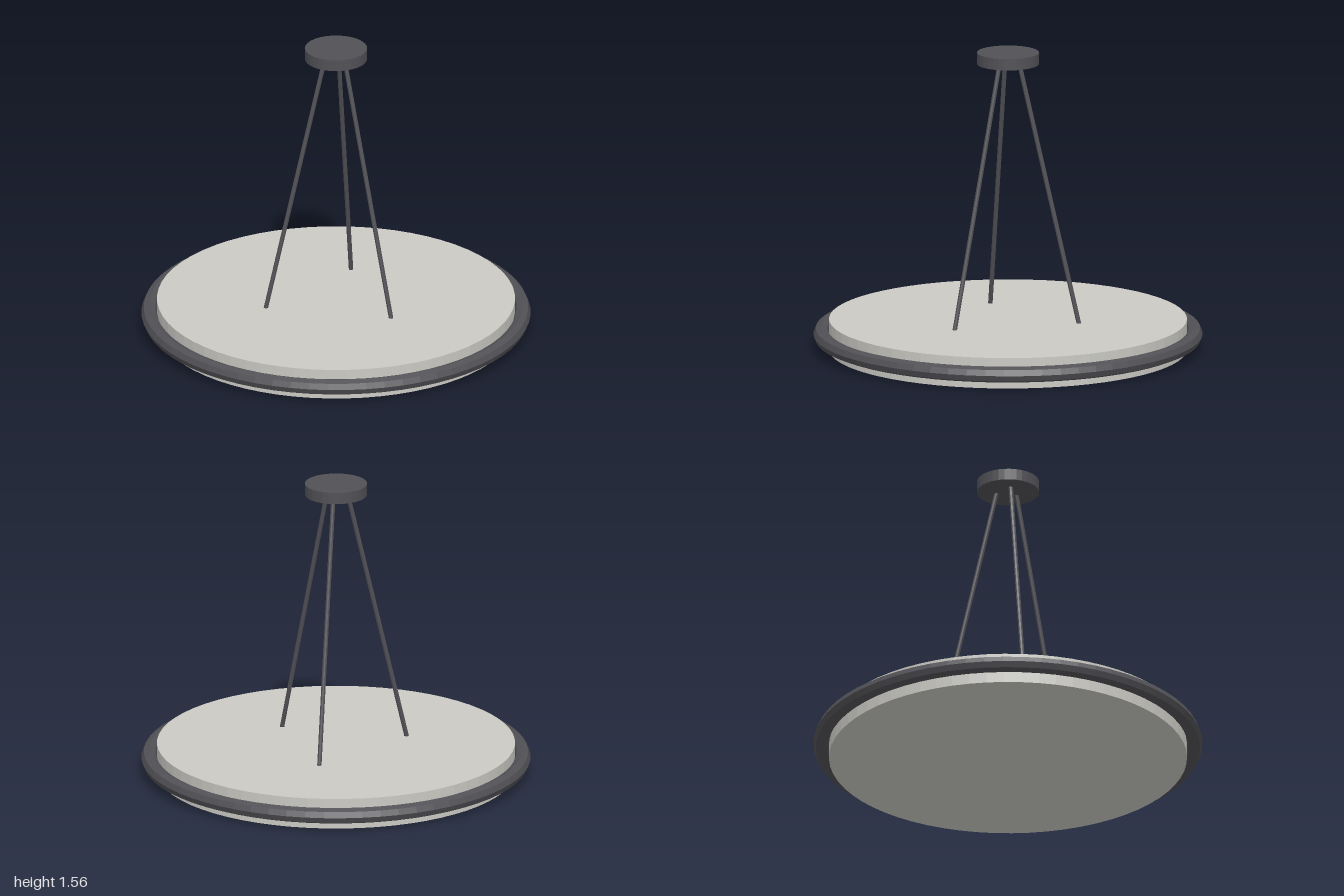
import * as THREE from 'three';

export function createModel() {
  const group = new THREE.Group();

  const metal = new THREE.MeshStandardMaterial({ color: 0x515156, flatShading: true });
  metal.name = 'dark metal';
  const glass = new THREE.MeshStandardMaterial({ color: 0xcbcac4, flatShading: true });
  glass.name = 'frosted diffuser';

  const add = (name, geometry, material) => {
    const mesh = new THREE.Mesh(geometry, material);
    mesh.name = name;
    group.add(mesh);
    return mesh;
  };

  // Shallow drum diffuser
  add('diffuser', new THREE.CylinderGeometry(0.92, 0.92, 0.16, 64), glass).position.y = 0.08;

  // Rounded metal band around the drum
  const rim = new THREE.TorusGeometry(0.958, 0.042, 8, 64).rotateX(Math.PI / 2);
  add('rim', rim, metal).position.y = 0.082;

  // Ceiling canopy
  add('canopy', new THREE.CylinderGeometry(0.16, 0.16, 0.06, 32), metal).position.y = 1.533;

  // Three splayed suspension rods
  const up = new THREE.Vector3(0, 1, 0);
  for (let i = 0; i < 3; i++) {
    const a = THREE.MathUtils.degToRad(17 + i * 120);
    const at = (r, y) => new THREE.Vector3(r * Math.cos(a), y, r * Math.sin(a));
    const bottom = at(0.38, 0.155);
    const top = at(0.06, 1.51);
    const dir = top.clone().sub(bottom);
    const rod = add('rod' + (i + 1), new THREE.CylinderGeometry(0.012, 0.012, dir.length(), 8), metal);
    rod.position.copy(bottom).add(top).multiplyScalar(0.5);
    rod.quaternion.setFromUnitVectors(up, dir.normalize());
  }

  return group;
}
